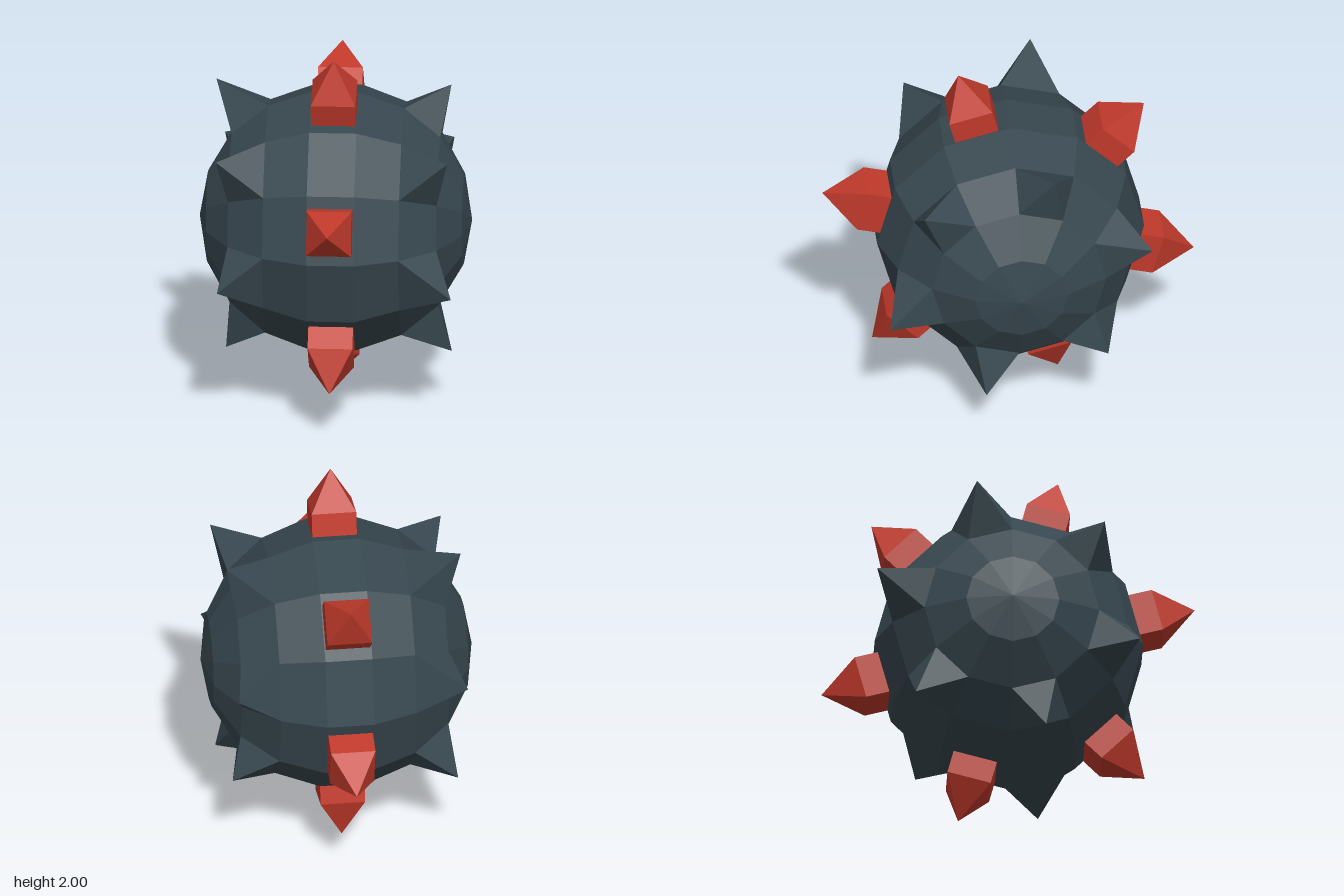
import * as THREE from 'three';

const R = 0.73;
const rad = THREE.MathUtils.degToRad;

// point at distance r from the x axis, turned by a degrees from +y towards +z
const around = (x, r, a) => new THREE.Vector3(x, r * Math.cos(rad(a)), r * Math.sin(rad(a)));
// point on the shell at a polar angle from the x axis
const onShell = (side, polar, a) =>
  around(side * R * Math.cos(rad(polar)), R * Math.sin(rad(polar)), a);

// four-sided pyramid growing out of one facet of the shell
function facetSpike(side, a, tipX, tipR) {
  const base = [[60, -15], [60, 15], [40, 15], [40, -15]].map(([p, d]) => onShell(side, p, a + d));
  if (side < 0) base.reverse();
  const tip = around(side * tipX, tipR, a);
  const points = base.flatMap((c, i) => [c, base[(i + 1) % 4], tip]);
  const geo = new THREE.BufferGeometry().setFromPoints(points);
  geo.computeVertexNormals();
  return geo;
}

export function createModel() {
  const model = new THREE.Group();
  model.name = 'spikedBall';
  const dark = new THREE.MeshStandardMaterial({ color: 0x37474f, flatShading: true });
  const red = new THREE.MeshStandardMaterial({ color: 0xc0392b, flatShading: true });
  const ball = new THREE.Group();
  ball.position.y = 1;
  model.add(ball);

  const add = (name, geo, mat) => {
    const mesh = new THREE.Mesh(geo, mat);
    mesh.name = name;
    ball.add(mesh);
    return mesh;
  };

  // faceted shell with its poles on the x axis
  add('shell', new THREE.SphereGeometry(R, 12, 9).rotateZ(-Math.PI / 2), dark);

  // six red studs around the middle: square block with a pointed cap
  const w = 0.12 * Math.SQRT2;
  const profile = [[0, 0.66], [w, 0.66], [w, 0.823], [0, 1.035]].map(p => new THREE.Vector2(...p));
  const studGeo = new THREE.LatheGeometry(profile, 4, Math.PI / 4);
  for (let i = 0; i < 6; i++) {
    add('redStud', studGeo, red).rotation.x = rad(15 + 60 * i);
  }

  // slightly uneven dark spikes on both flanks: [tip x, tip radius]
  const leftTips = [[0.62, 0.73], [0.65, 0.73], [0.63, 0.71], [0.61, 0.67], [0.6, 0.74], [0.61, 0.725]];
  const rightTips = [[0.62, 0.7], [0.605, 0.71], [0.58, 0.71], [0.6, 0.73], [0.63, 0.75], [0.65, 0.735]];
  leftTips.forEach(([x, r], i) => add('leftSpike', facetSpike(1, 45 + 60 * i, x, r), dark));
  rightTips.forEach(([x, r], i) => add('rightSpike', facetSpike(-1, 45 + 60 * i, x, r), dark));

  return model;
}
